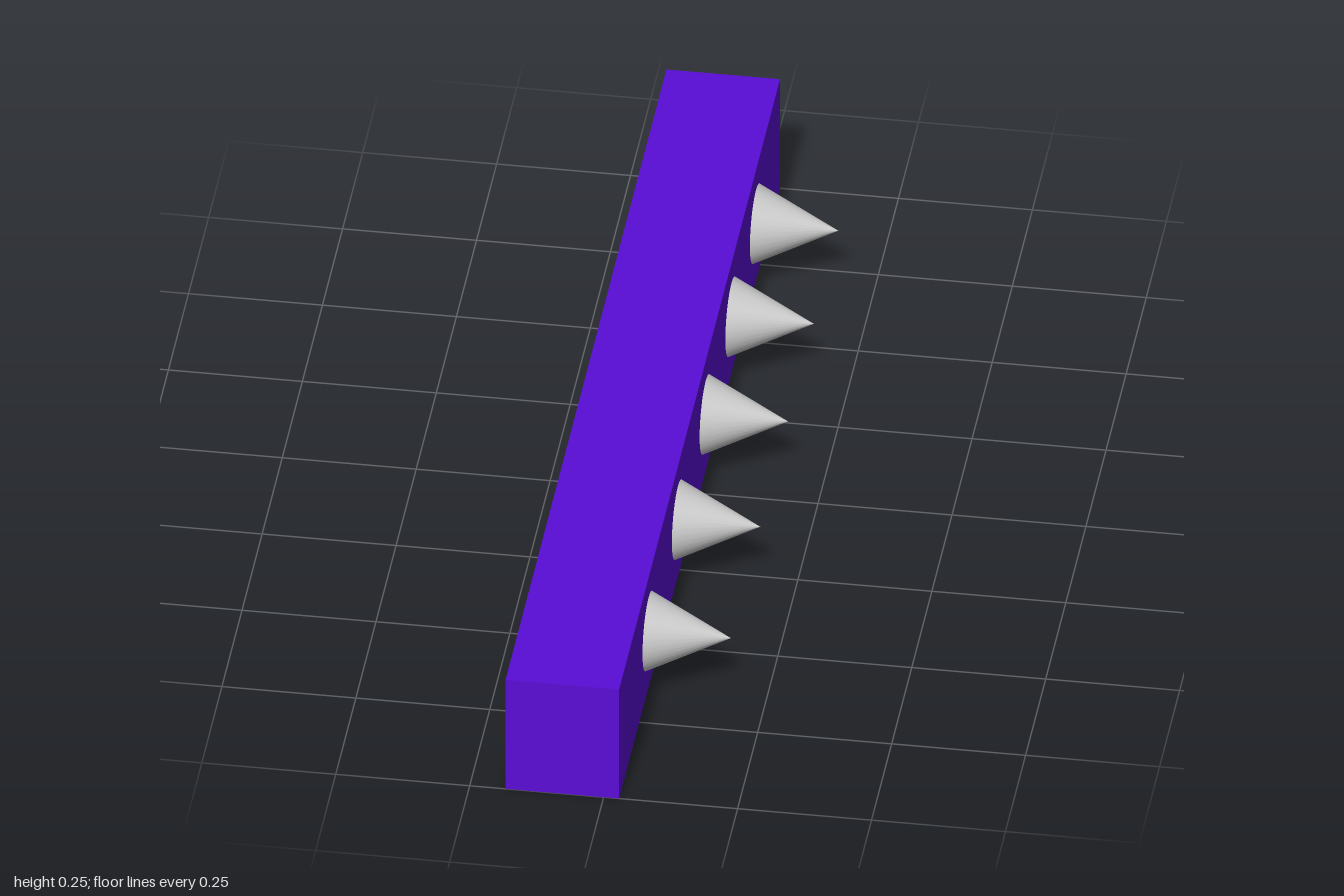
import * as THREE from 'three';

export function createModel() {
  const model = new THREE.Group();

  // Long square bar
  const x0 = -0.183, x1 = 0.029, height = 0.245;
  const bar = new THREE.Mesh(
    new THREE.BoxGeometry(x1 - x0, height, 2),
    new THREE.MeshStandardMaterial({ color: 0x5a0dd6 })
  );
  bar.name = 'bar';
  bar.position.set((x0 + x1) / 2, height / 2, 0);
  model.add(bar);

  // Row of cone spikes pointing to +x, bases on the bar's side
  const length = 0.154;
  const spikeGeometry = new THREE.ConeGeometry(0.075, length, 32);
  spikeGeometry.rotateZ(-Math.PI / 2);
  spikeGeometry.translate(length / 2, 0, 0);
  const grey = new THREE.MeshStandardMaterial({ color: 0xcccccc });
  [0.635, 0.27, -0.075, -0.395, -0.7].forEach((z, i) => {
    const spike = new THREE.Mesh(spikeGeometry, grey);
    spike.name = `spike${i + 1}`;
    spike.position.set(x1, 0.126, z);
    model.add(spike);
  });

  return model;
}
